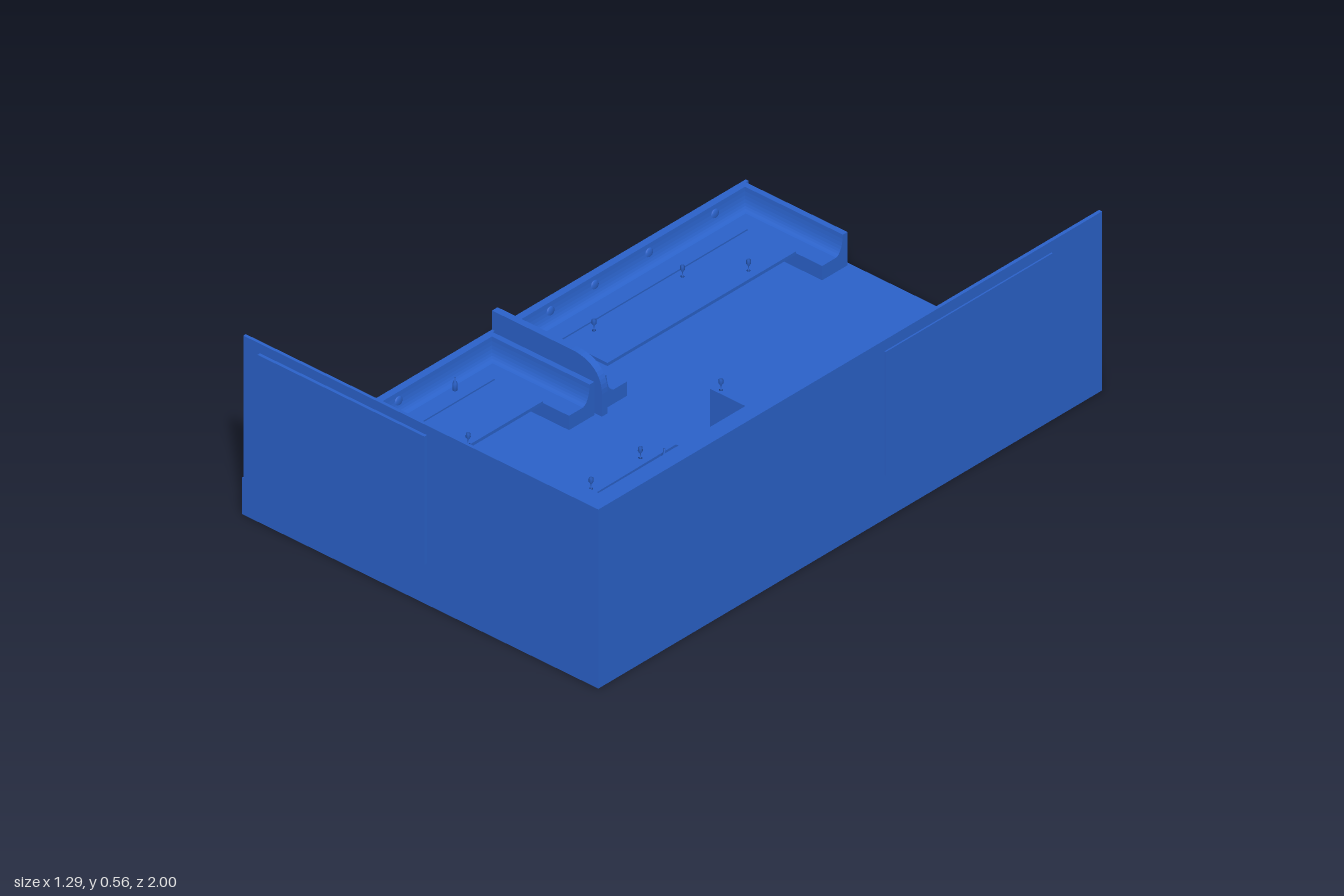
import * as THREE from 'three';

const mat = new THREE.MeshStandardMaterial({ color: 0x2b63cc, side: THREE.DoubleSide });

export function createModel() {
  const root = new THREE.Group();
  const add = (name, geo, x = 0, y = 0, z = 0, ry = 0) => {
    const m = new THREE.Mesh(geo, mat);
    m.name = name;
    m.position.set(x, y, z);
    m.rotation.y = ry;
    root.add(m);
    return m;
  };
  // Box given by its limits on each axis
  const box = (name, x0, x1, y0, y1, z0, z1) =>
    add(name, new THREE.BoxGeometry(x1 - x0, y1 - y0, z1 - z0), (x0 + x1) / 2, (y0 + y1) / 2, (z0 + z1) / 2);
  // Flat plan outline (x, z) raised from y0 to y1
  const slab = (name, pts, y0, y1) => {
    const s = new THREE.Shape(pts.map(([x, z]) => new THREE.Vector2(x, -z)));
    const g = new THREE.ExtrudeGeometry(s, { depth: y1 - y0, bevelEnabled: false });
    g.rotateX(-Math.PI / 2);
    return add(name, g, 0, y0, 0);
  };

  // Room shell
  box('floor', -0.64, 0.635, 0, 0.01, -1, 0.99);
  box('frontWall', -0.64, 0.635, 0, 0.565, 0.98, 0.99);
  box('sideWall', 0.625, 0.636, 0, 0.565, -1, 0.99);
  box('lowOuterWall', -0.645, -0.635, 0, 0.115, -1, 0.99);

  // Front window: outer panel, inner frame with three panes
  box('frontWindowPanel', -0.58, 0.02, 0.13, 0.535, 0.985, 1);
  for (let i = 0; i <= 3; i++) {
    const x = -0.575 + i * 0.197;
    box('windowMullion', x - 0.005, x + 0.005, 0.13, 0.535, 0.972, 0.982);
  }
  for (const y of [0.13, 0.525]) box('windowRail', -0.58, 0.02, y, y + 0.01, 0.972, 0.982);

  // Side window and framed picture
  box('sideWindowPanel', 0.618, 0.641, 0.14, 0.53, -0.8, -0.14);
  box('pictureFrame', 0.615, 0.626, 0.17, 0.35, -0.06, 0.1);
  box('picture', 0.612, 0.616, 0.19, 0.33, -0.045, 0.085);
  // Wall lamps
  const lamp = (x, y, z) => {
    add('wallLamp', new THREE.CylinderGeometry(0.014, 0.011, 0.04, 12), x, y, z);
    box('lampBracket', x - 0.008, Math.min(x + 0.03, 0.63), y - 0.006, y + 0.006, z - 0.008, z + 0.008);
  };
  lamp(0.607, 0.505, -0.005);
  lamp(0.08, 0.515, 0.965);

  // Small lathe-turned drinkware
  const lathe = (p) => new THREE.LatheGeometry(p.map(([r, y]) => new THREE.Vector2(r, y)), 8);
  const bottleGeo = lathe([[0, 0], [0.007, 0], [0.007, 0.022], [0.003, 0.03], [0.003, 0.04], [0, 0.04]]);
  const glassGeo = lathe([[0, 0], [0.006, 0], [0.0015, 0.003], [0.0015, 0.014], [0.007, 0.022], [0.006, 0.034]]);
  const bottle = (x, y, z) => add('bottle', bottleGeo, x, y, z);
  const glass = (x, y, z) => add('glass', glassGeo, x, y, z);

  // Low partition
  box('partition', 0.06, 0.62, 0.01, 0.19, -0.115, -0.085);
  for (const x of [0.085, 0.59]) glass(x, 0.19, -0.1);

  // Corner back bar: L-shaped base, header, end panels
  const ell = (dx, dz) => [[0.625, 0.12], [dx, 0.12], [dx, dz], [0.16, dz], [0.16, 0.98], [0.625, 0.98]];
  slab('backBarBase', ell(0.56, 0.905), 0.01, 0.13);
  slab('backBarCounter', ell(0.553, 0.898), 0.13, 0.14);
  slab('backBarHeader', ell(0.555, 0.9), 0.5, 0.54);
  box('endPanel', 0.555, 0.625, 0.01, 0.5, 0.12, 0.15);
  box('endPanel', 0.16, 0.19, 0.01, 0.5, 0.9, 0.98);
  box('counterMirror', 0.618, 0.626, 0.15, 0.27, 0.2, 0.93);

  // Shelves with bottles, spacing varied by a small rule
  [0.29, 0.36, 0.43].forEach((y, level) => {
    box('sideShelf', 0.59, 0.625, y, y + 0.008, 0.15, 0.98);
    box('frontShelf', 0.19, 0.59, y, y + 0.008, 0.945, 0.98);
    for (let i = 0; i < 14; i++) {
      if ((i * 5 + level * 3) % 4 === 0) continue;
      bottle(0.607, y + 0.008, 0.19 + i * 0.055);
      if (i < 9) bottle(0.22 + i * 0.04, y + 0.008, 0.962);
    }
  });
  for (let i = 0; i < 6; i++) bottle(0.59, 0.14, 0.46 + i * 0.06);
  for (let i = 0; i < 5; i++) glass(0.25 + i * 0.06, 0.14, 0.94);

  // Coffee machine
  box('coffeeMachineBody', 0.57, 0.61, 0.14, 0.25, 0.2, 0.39);
  box('coffeeMachineHead', 0.54, 0.61, 0.21, 0.26, 0.2, 0.39);
  box('dripTray', 0.545, 0.61, 0.14, 0.155, 0.2, 0.39);

  // Bar counter: plinth, body and two-step top, slightly slanted
  const bar = (o) => [[0.127 + o, 0.125 + o], [0.33, 0.125 + o], [0.33, 0.23 - o],
    [0.225 - o, 0.23 - o], [0.225 - o, 0.9 - o], [0.14 + o, 0.9 - o]];
  slab('barPlinth', bar(0.008), 0.01, 0.05);
  slab('barBody', bar(0.018), 0.05, 0.16);
  slab('barTop', bar(0), 0.16, 0.18);
  slab('barLedge', [[0.127, 0.125], [0.33, 0.125], [0.33, 0.172], [0.175, 0.177], [0.183, 0.9], [0.14, 0.9]], 0.18, 0.188);
  for (const [x, z] of [[0.15, 0.29], [0.155, 0.49], [0.165, 0.59], [0.16, 0.655], [0.16, 0.87]]) glass(x, 0.188, z);
  for (const [x, z] of [[0.2, 0.25], [0.24, 0.21], [0.28, 0.2], [0.205, 0.54], [0.2, 0.565]]) bottle(x, 0.18, z);

  // Bench cross-section: seat with a curved backrest
  const bench = new THREE.Shape();
  bench.moveTo(0, 0.01);
  bench.lineTo(0.1, 0.01);
  bench.lineTo(0.1, 0.055);
  bench.lineTo(0.045, 0.055);
  bench.quadraticCurveTo(0.022, 0.06, 0.018, 0.115);
  bench.lineTo(0, 0.115);
  const run = (length) => new THREE.ExtrudeGeometry(bench, { depth: length, bevelEnabled: false, curveSegments: 8 });

  // U-shaped booths, each with a long table
  const booth = (z0, z1, cushions, drinks) => {
    add('benchBack', run(z1 - z0), -0.64, 0, z0);
    add('benchSide', run(0.37), -0.27, 0, z0, -Math.PI / 2);
    add('benchSide', run(0.37), -0.64, 0, z1, Math.PI / 2);
    box('tableTop', -0.515, -0.35, 0.064, 0.074, z0 + 0.115, z1 - 0.11);
    for (const t of [0.25, 0.75]) {
      const z = z0 + (z1 - z0) * t;
      box('tableLeg', -0.45, -0.415, 0.01, 0.064, z - 0.03, z + 0.03);
    }
    for (const z of cushions) {
      const c = add('benchButton', new THREE.SphereGeometry(0.018, 12, 8), -0.621, 0.085, z);
      c.scale.x = 0.35;
    }
    for (const [x, z] of drinks) glass(x, 0.074, z);
  };
  booth(-0.99, -0.02, [-0.85, -0.59, -0.375, -0.2], [[-0.38, -0.72], [-0.49, -0.58], [-0.485, -0.225]]);
  booth(0.01, 0.98, [0.4, 0.62], [[-0.355, 0.415], [-0.43, 0.51], [-0.375, 0.61], [-0.395, 0.64],
    [-0.415, 0.78], [-0.365, 0.785], [-0.495, 0.81]]);
  bottle(-0.58, 0.055, 0.22);

  // Tall divider between the booths, rounded toward the room
  const d = new THREE.Shape();
  d.moveTo(-0.645, 0.005);
  d.lineTo(-0.25, 0.005);
  d.lineTo(-0.25, 0.08);
  d.bezierCurveTo(-0.25, 0.14, -0.29, 0.175, -0.36, 0.175);
  d.lineTo(-0.645, 0.175);
  add('boothDivider', new THREE.ExtrudeGeometry(d, { depth: 0.022, bevelEnabled: false, curveSegments: 12 }), 0, 0, -0.02);
  return root;
}
